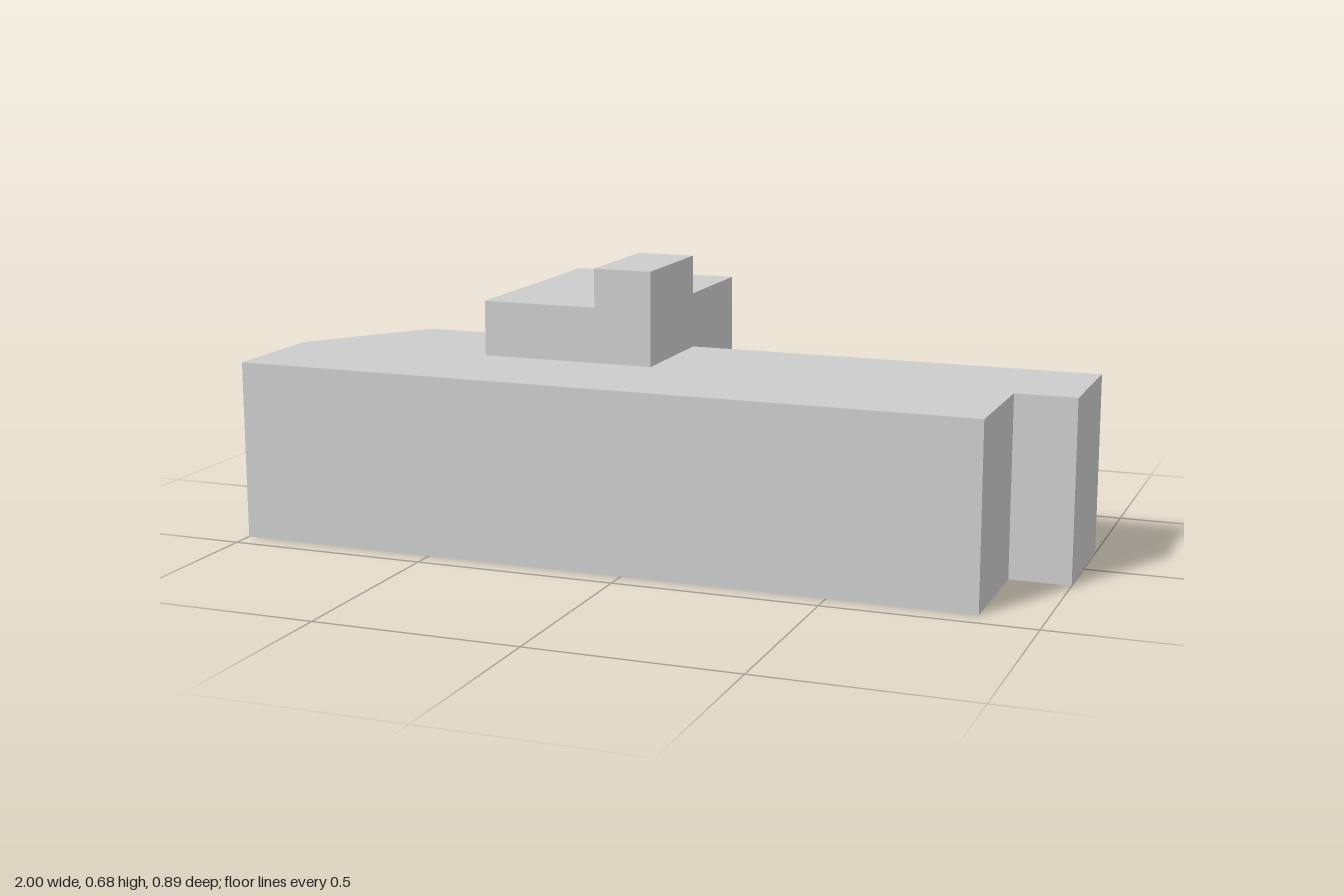
import * as THREE from 'three';

const material = new THREE.MeshStandardMaterial({ color: 0xcccccc, flatShading: true });

// Upright prism over a plan outline of [x, z] points, from y0 to y1
function prism(name, plan, y0, y1) {
  const shape = new THREE.Shape(plan.map(([x, z]) => new THREE.Vector2(x, -z)));
  const geometry = new THREE.ExtrudeGeometry(shape, { depth: y1 - y0, bevelEnabled: false });
  geometry.rotateX(-Math.PI / 2).translate(0, y0, 0);
  const mesh = new THREE.Mesh(geometry, material);
  mesh.name = name;
  return mesh;
}

const rectangle = (x0, x1, z0, z1) => [[x0, z1], [x1, z1], [x1, z0], [x0, z0]];

export function createModel() {
  const building = new THREE.Group();
  building.name = 'building';

  // Main storey: long hall with a rear wing, a chamfered end and a notched end
  const footprint = [
    [-1, 0.443], [0.852, 0.443], [0.852, 0.147], [1, 0.147], [1, -0.147], [-0.04, -0.147],
    [-0.04, -0.443], [-0.63, -0.443], [-0.63, -0.147], [-0.78, -0.147], [-1, 0.147],
  ];
  building.add(prism('mainStorey', footprint, 0, 0.442));

  // Stepped roof blocks
  building.add(prism('upperStorey', rectangle(-0.482, -0.04, -0.443, 0.147), 0.442, 0.579));
  building.add(prism('roofHousing', rectangle(-0.187, -0.04, -0.147, 0.147), 0.579, 0.675));

  return building;
}
